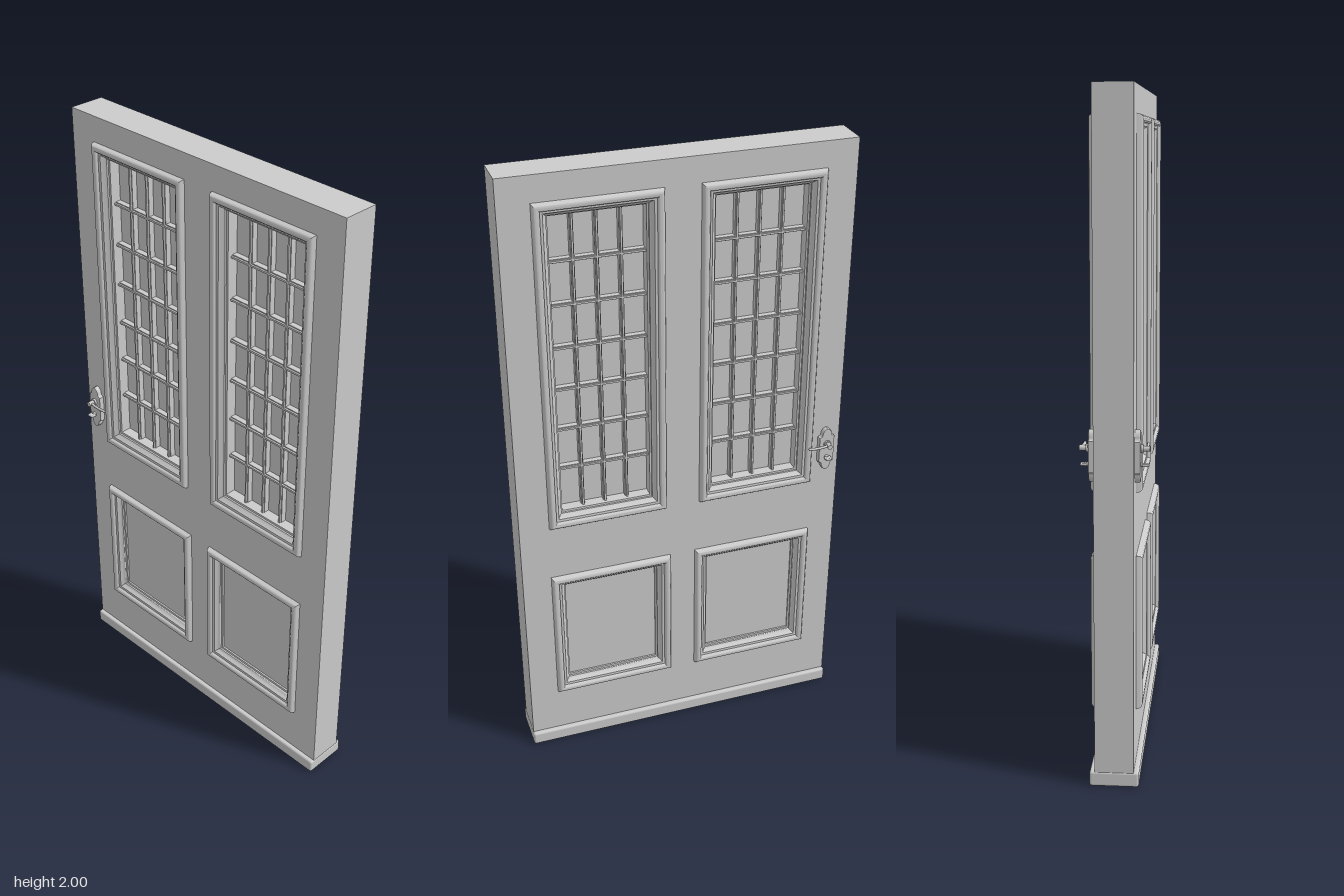
import * as THREE from 'three';
import { toCreasedNormals } from 'three/addons/utils/BufferGeometryUtils.js';
import { RoundedBoxGeometry } from 'three/addons/geometries/RoundedBoxGeometry.js';

const grey = new THREE.MeshStandardMaterial({ color: 0xcccccc });

function add(parent, name, geometry, x = 0, y = 0, z = 0) {
  const mesh = new THREE.Mesh(geometry, grey);
  mesh.name = name;
  mesh.position.set(x, y, z);
  parent.add(mesh);
  return mesh;
}

// Box given by its x and y limits, centred on z
function slab(parent, name, x0, x1, y0, y1, depth) {
  return add(parent, name, new THREE.BoxGeometry(x1 - x0, y1 - y0, depth), (x0 + x1) / 2, (y0 + y1) / 2);
}

// Mitred rectangular moulding; profile is [inset, z] from outer to inner edge
function mouldingGeometry(w, h, profile) {
  const corners = [[-1, -1], [1, -1], [1, 1], [-1, 1]];
  const at = (k, i) => {
    const [sx, sy] = corners[k % 4], [d, z] = profile[i];
    return [sx * (w / 2 - d), sy * (h / 2 - d), z];
  };
  const pos = [];
  for (let k = 0; k < 4; k++) {
    for (let i = 0; i < profile.length - 1; i++) {
      const a = at(k, i), b = at(k + 1, i), c = at(k + 1, i + 1), d = at(k, i + 1);
      pos.push(...a, ...b, ...c, ...a, ...c, ...d);
    }
  }
  const g = new THREE.BufferGeometry();
  g.setAttribute('position', new THREE.Float32BufferAttribute(pos, 3));
  return toCreasedNormals(g, 0.7);
}

// Bead, step and cove running down to the recessed panel
const profile = [
  [0, 0.05], [0, 0.062], [0.002, 0.069], [0.006, 0.074], [0.012, 0.076], [0.018, 0.075],
  [0.022, 0.071], [0.023, 0.065], [0.031, 0.064], [0.034, 0.058], [0.038, 0.053],
  [0.043, 0.05], [0.043, 0.044], [0.048, 0.042], [0.048, 0.0],
];

// Moulding on both faces of the door
function mouldings(parent, name, w, h, x, y) {
  const g = mouldingGeometry(w, h, profile);
  add(parent, name + 'Front', g, x, y);
  add(parent, name + 'Back', g, x, y).rotation.y = Math.PI;
}

// Glazing bar: deep core with a narrower nose on each face
function bar(parent, name, w, h, x, y) {
  const vertical = h > w;
  add(parent, name, new THREE.BoxGeometry(w, h, 0.05), x, y);
  add(parent, name + 'Nose', new THREE.BoxGeometry(vertical ? w * 0.5 : w, vertical ? h : h * 0.5, 0.062), x, y);
}

function glazedPanel(side) {
  const g = new THREE.Group();
  g.name = 'glazedPanel';
  const w = 0.284, h = 0.95, cols = 4, rows = 7;
  mouldings(g, 'glazingMoulding', 0.38, 1.06, 0, 0);
  add(g, 'glass', new THREE.BoxGeometry(w + 0.02, h + 0.03, 0.014));
  for (let i = 1; i < cols; i++) bar(g, 'verticalBar', 0.011, h + 0.014, (i / cols - 0.5) * w, 0);
  for (let i = 1; i < rows; i++) bar(g, 'horizontalBar', w, 0.012, 0, (i / rows - 0.5) * h);
  g.position.set(side * 0.245, 1.39, 0);
  return g;
}

function lowerPanel(side) {
  const g = new THREE.Group();
  g.name = 'lowerPanel';
  mouldings(g, 'panelMoulding', 0.396, 0.468, 0, 0);
  add(g, 'panelBoard', new THREE.BoxGeometry(0.32, 0.39, 0.072));
  g.position.set(side * 0.24, 0.438, 0);
  return g;
}

// Backplate with stepped waist and arched ends, lever and lock turn
function handle(side) {
  const g = new THREE.Group();
  g.name = 'handle';
  const s = new THREE.Shape();
  s.moveTo(0.026, -0.045);
  s.lineTo(0.026, 0.045);
  s.quadraticCurveTo(0.016, 0.046, 0.016, 0.058);
  s.quadraticCurveTo(0.013, 0.072, 0, 0.076);
  s.quadraticCurveTo(-0.013, 0.072, -0.016, 0.058);
  s.quadraticCurveTo(-0.016, 0.046, -0.026, 0.045);
  s.lineTo(-0.026, -0.045);
  s.quadraticCurveTo(-0.016, -0.046, -0.016, -0.058);
  s.quadraticCurveTo(-0.013, -0.072, 0, -0.076);
  s.quadraticCurveTo(0.013, -0.072, 0.016, -0.058);
  s.quadraticCurveTo(0.016, -0.046, 0.026, -0.045);
  const plate = new THREE.ExtrudeGeometry(s, {
    depth: 0.02, bevelThickness: 0.004, bevelSize: 0.004, bevelOffset: -0.004, bevelSegments: 2, curveSegments: 6,
  });
  add(g, 'backplate', plate, 0, -0.022, 0.05);

  const disc = (name, r, z0, z1, y) => {
    add(g, name, new THREE.CylinderGeometry(r, r, z1 - z0, 20), 0, y, (z0 + z1) / 2).rotation.x = Math.PI / 2;
  };
  disc('leverRose', 0.012, 0.06, 0.081, 0);
  disc('leverSpindle', 0.008, 0.06, 0.1, 0);
  // Lever points toward the middle of the door on both faces
  const path = new THREE.CatmullRomCurve3([
    [0, 0, 0.088], [0.015, 0.001, 0.092], [0.04, -0.001, 0.092], [0.066, 0, 0.091],
  ].map(([x, y, z]) => new THREE.Vector3(x * side, y, z)));
  add(g, 'lever', new THREE.TubeGeometry(path, 16, 0.0045, 8));
  add(g, 'leverTip', new THREE.SphereGeometry(0.0048, 10, 8), 0.066 * side, 0, 0.091);
  disc('lockSpindle', 0.006, 0.06, 0.085, -0.047);
  add(g, 'lockTurn', new RoundedBoxGeometry(0.022, 0.008, 0.02, 2, 0.003), 0, -0.047, 0.088);
  g.position.set(-0.483, 1.0, 0);
  if (side < 0) {
    g.rotation.y = Math.PI;
  }
  return g;
}

export function createModel() {
  const door = new THREE.Group();
  door.name = 'door';
  const depth = 0.114;

  // Stiles, rails and mullions
  slab(door, 'rightStile', -0.53, -0.415, 0.01, 2, depth);
  slab(door, 'leftStile', 0.415, 0.53, 0.01, 2, depth);
  slab(door, 'topRail', -0.415, 0.415, 1.905, 2, depth);
  slab(door, 'middleRail', -0.415, 0.415, 0.658, 0.872, depth);
  slab(door, 'bottomRail', -0.415, 0.415, 0.01, 0.22, depth);
  slab(door, 'upperMullion', -0.073, 0.073, 0.872, 1.905, depth);
  slab(door, 'lowerMullion', -0.06, 0.06, 0.22, 0.658, depth);

  // Weather board along the foot
  add(door, 'footBoard', new RoundedBoxGeometry(1.064, 0.045, 0.144, 3, 0.007), 0, 0.0225, 0);

  for (const side of [-1, 1]) {
    door.add(glazedPanel(side), lowerPanel(side), handle(side));
  }
  return door;
}
